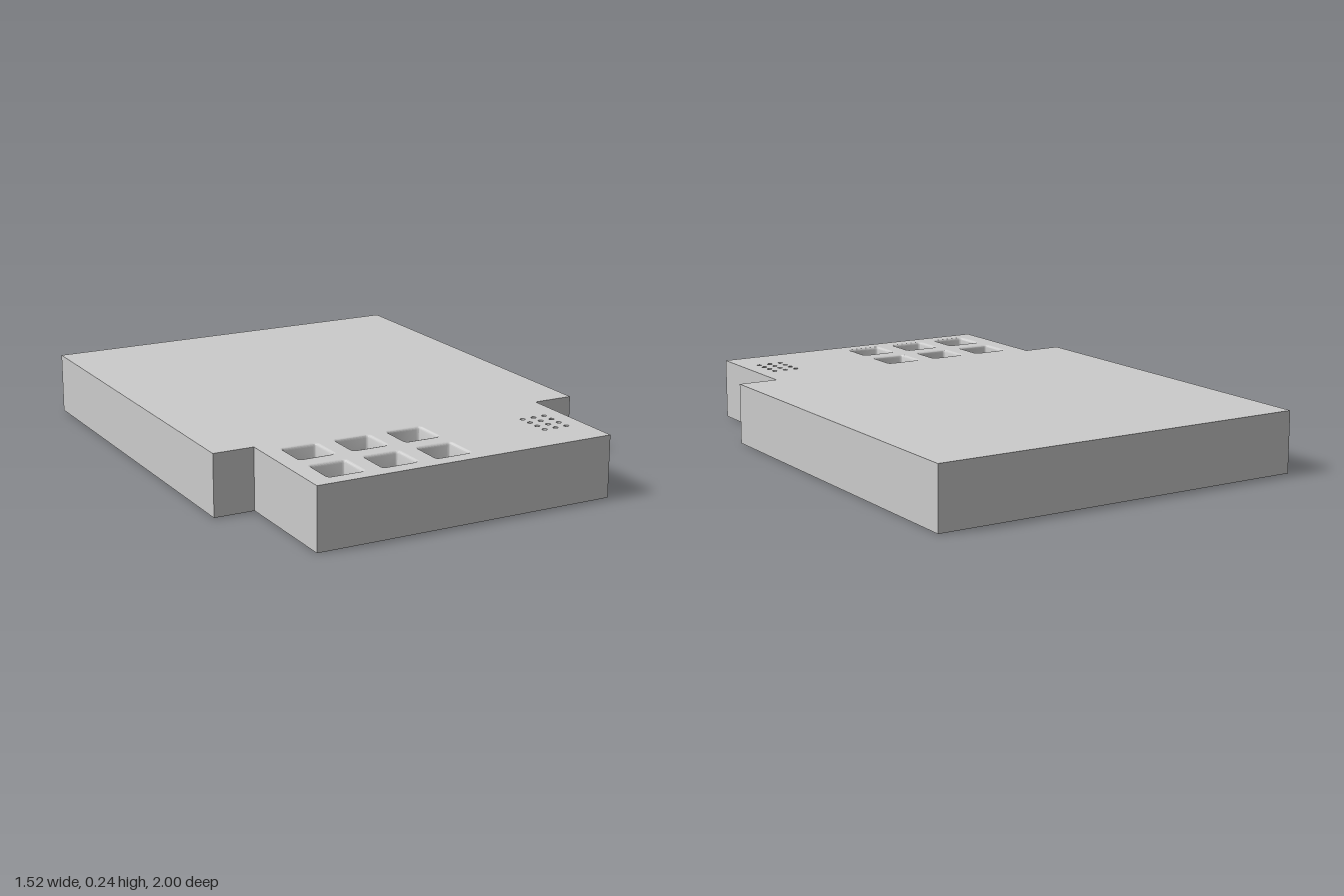
import * as THREE from 'three';
import { toCreasedNormals } from 'three/addons/utils/BufferGeometryUtils.js';

const H = 0.24;            // slab height
const material = new THREE.MeshStandardMaterial({ color: 0xcccccc });

// Plans are drawn in x / -z and laid flat, so the third coordinate is height.
const layFlat = (geometry) => geometry.rotateX(-Math.PI / 2);

// Flat face at a height, facing up (or down).
function face(points, height, { holes = [], down = false } = {}) {
  const shape = new THREE.Shape(points);
  shape.holes = holes.map((h) => new THREE.Path(h));
  const g = new THREE.ShapeGeometry(shape);
  if (down) g.rotateX(Math.PI).scale(1, -1, 1), flip(g);
  return layFlat(g.translate(0, 0, height));
}

// Reverses winding after a mirror and rebuilds the normals.
function flip(g) {
  const idx = g.index.array;
  for (let i = 0; i < idx.length; i += 3) [idx[i], idx[i + 1]] = [idx[i + 1], idx[i]];
  g.computeVertexNormals();
}

// Wall through counter-clockwise rings: rising rings face out, falling rings face in.
function wall(rings) {
  const pos = [];
  const n = rings[0].points.length;
  for (let r = 0; r + 1 < rings.length; r++) {
    const [a, b] = [rings[r], rings[r + 1]];
    for (let i = 0; i < n; i++) {
      const j = (i + 1) % n;
      for (const [ring, k] of [[a, i], [a, j], [b, j], [a, i], [b, j], [b, i]]) {
        pos.push(ring.points[k].x, ring.points[k].y, ring.height);
      }
    }
  }
  const g = new THREE.BufferGeometry();
  g.setAttribute('position', new THREE.Float32BufferAttribute(pos, 3));
  return toCreasedNormals(layFlat(g), 0.6);
}

// Rounded square; with half === radius it is a circle.
function roundedSquare(x, z, half, radius, steps = 4) {
  const points = [];
  for (let c = 0; c < 4; c++) {
    const mid = Math.PI / 4 + (c * Math.PI) / 2;
    const cx = x + Math.sign(Math.cos(mid)) * (half - radius);
    const cy = -z + Math.sign(Math.sin(mid)) * (half - radius);
    const last = half === radius ? steps - 1 : steps;
    for (let s = 0; s <= last; s++) {
      const a = ((c + s / steps) * Math.PI) / 2;
      points.push(new THREE.Vector2(cx + radius * Math.cos(a), cy + radius * Math.sin(a)));
    }
  }
  return points;
}

export function createModel() {
  const model = new THREE.Group();
  const add = (name, geometry, parent = model) => {
    const mesh = new THREE.Mesh(geometry, material);
    mesh.name = name;
    parent.add(mesh);
  };
  const openings = [];

  // Square pockets with softened rims
  const fillet = 0.01, half = 0.067, pocketDepth = 0.12;
  for (const z of [0.652, 0.866]) {
    for (const x of [-0.453, -0.24, -0.025]) {
      const pocket = new THREE.Group();
      pocket.name = 'squarePocket';
      const rings = [];
      for (let s = 0; s <= 4; s++) {
        const t = (s / 4) * (Math.PI / 2);
        const grow = fillet * (1 - Math.sin(t));
        rings.push({
          points: roundedSquare(x, z, half + grow, 0.01 + grow),
          height: H - fillet * (1 - Math.cos(t)),
        });
      }
      const floor = roundedSquare(x, z, half, 0.01);
      rings.push({ points: floor, height: H - pocketDepth });
      add('pocketWall', wall(rings), pocket);
      add('pocketFloor', face(floor, H - pocketDepth), pocket);
      openings.push(rings[0].points);
      model.add(pocket);
    }
  }

  // Grid of small round holes
  const holeDepth = 0.12;
  for (let row = 0; row < 4; row++) {
    for (let col = 0; col < 3; col++) {
      const rim = roundedSquare(0.429 + col * 0.048, 0.687 + row * 0.048, 0.01, 0.01);
      const hole = new THREE.Group();
      hole.name = 'roundHole';
      add('holeWall', wall([{ points: rim, height: H }, { points: rim, height: H - holeDepth }]), hole);
      add('holeFloor', face(rim, H - holeDepth), hole);
      openings.push(rim);
      model.add(hole);
    }
  }

  // Slab with a narrower front tab
  const outline = [
    [-0.6, 1], [0.6, 1], [0.6, 0.52], [0.76, 0.52],
    [0.76, -1], [-0.76, -1], [-0.76, 0.52], [-0.6, 0.52],
  ].map(([x, z]) => new THREE.Vector2(x, -z));
  add('slabSides', wall([{ points: outline, height: 0 }, { points: outline, height: H }]));
  add('slabTop', face(outline, H, { holes: openings }));
  add('slabBottom', face(outline, 0, { down: true }));
  return model;
}
